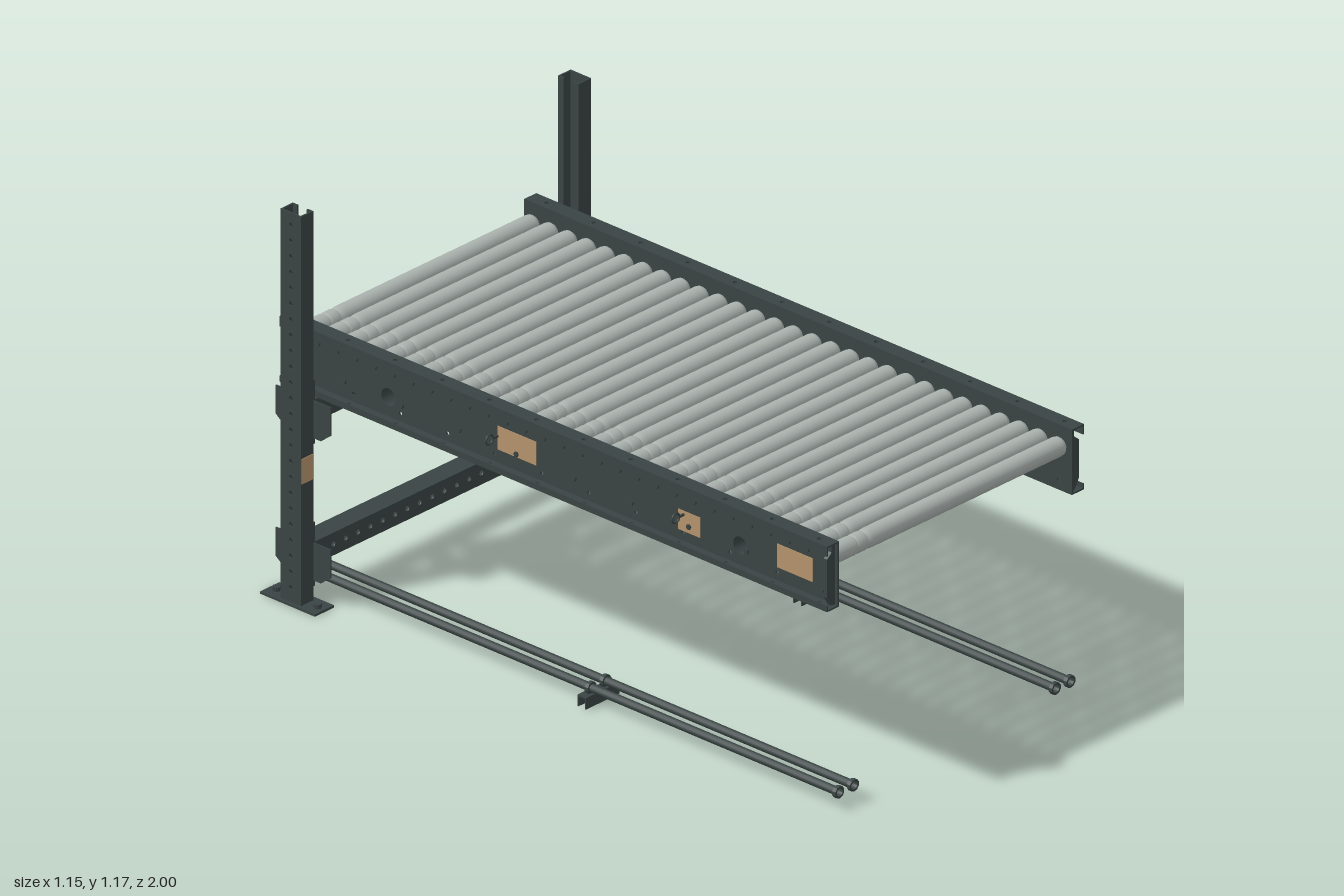
import * as THREE from 'three';

const steel = new THREE.MeshStandardMaterial({ color: 0x3a4444 });
const tubeSteel = new THREE.MeshStandardMaterial({ color: 0x3a4444, side: THREE.DoubleSide });
const zinc = new THREE.MeshStandardMaterial({ color: 0xaab2ae });
const tan = new THREE.MeshStandardMaterial({ color: 0xb5946c });

export function createModel() {
  const model = new THREE.Group();

  function add(parent, name, geo, mat, x, y, z) {
    const m = new THREE.Mesh(geo, mat);
    m.name = name;
    m.position.set(x, y, z);
    parent.add(m);
    return m;
  }
  const box = (p, name, w, h, d, x, y, z, mat = steel) =>
    add(p, name, new THREE.BoxGeometry(w, h, d), mat, x, y, z);
  function group(name) {
    const g = new THREE.Group();
    g.name = name;
    model.add(g);
    return g;
  }
  // Flat sheet in XY, centred in thickness; holes are [x, y, radius]
  function sheet(points, t, holes = []) {
    const s = new THREE.Shape(points.map(([x, y]) => new THREE.Vector2(x, y)));
    for (const [x, y, r] of holes) {
      const h = new THREE.Path();
      h.absarc(x, y, r, 0, Math.PI * 2, true);
      s.holes.push(h);
    }
    return new THREE.ExtrudeGeometry(s, { depth: t, bevelEnabled: false, curveSegments: 10 })
      .translate(0, 0, -t / 2);
  }
  const rect = (x0, y0, x1, y1) => [[x0, y0], [x1, y0], [x1, y1], [x0, y1]];
  // Sheet drawn as (z, y), facing sideways
  const sideSheet = (...a) => sheet(...a).rotateY(-Math.PI / 2);
  // Sheet drawn as (x, z), lying flat
  const flatSheet = (...a) => sheet(...a).rotateX(Math.PI / 2);
  const series = (n, start, step) => Array.from({ length: n }, (_, i) => start + i * step);

  const rollerZ = series(29, -0.963, 0.0687);
  const rollerY = 0.742;

  // Rollers with two belt grooves
  const prof = [[0, -0.455], [0.02, -0.455], [0.026, -0.452], [0.028, -0.446], [0.028, -0.368],
    [0.0245, -0.364], [0.0245, -0.359], [0.028, -0.355], [0.028, -0.328], [0.0245, -0.324],
    [0.0245, -0.319], [0.0275, -0.314], [0.0285, -0.3], [0.0285, 0.436], [0.027, 0.444],
    [0.022, 0.45], [0, 0.45]].map(([r, y]) => new THREE.Vector2(r, y));
  const rollerGeo = new THREE.LatheGeometry(prof, 20).rotateZ(-Math.PI / 2);
  const rollers = group('rollers');
  for (const z of rollerZ) add(rollers, 'roller', rollerGeo, zinc, 0, rollerY, z);

  // Hollow cross tubes between the rails
  const crossGeo = new THREE.CylinderGeometry(0.027, 0.027, 0.912, 20, 1, true).rotateZ(Math.PI / 2);
  for (const z of [0.645, -0.64]) add(model, 'crossTube', crossGeo, tubeSteel, 0, 0.667, z);

  // Side rails: outward channels with lips, bolts and end caps
  const webHoles = [[0.645, 0.667, 0.026], [-0.64, 0.667, 0.026]];
  for (const z of series(12, -0.94, 0.172)) webHoles.push([z, 0.633, 0.006]);
  const webGeo = sideSheet(rect(-1, 0.605, 1, 0.8), 0.006, webHoles);
  const boltGeo = new THREE.CylinderGeometry(0.008, 0.008, 0.008, 6).rotateZ(Math.PI / 2);
  const hookGeo = new THREE.TorusGeometry(0.014, 0.003, 6, 16);
  const flangeHoles = series(12, -0.94, 0.172).map(z => [0, z, 0.007]);
  const flangeGeo = flatSheet(rect(-0.0225, -1, 0.0225, 1), 0.005, flangeHoles);
  for (const s of [1, -1]) {
    const rail = group(s > 0 ? 'leftRail' : 'rightRail');
    add(rail, 'railWeb', webGeo, steel, s * 0.456, 0, 0);
    for (const [y, lipY, lipH] of [[0.7975, 0.785, 0.03], [0.6075, 0.614, 0.018]]) {
      add(rail, 'railFlange', flangeGeo, steel, s * 0.4775, y, 0);
      box(rail, 'railLip', 0.004, lipH, 2, s * 0.498, lipY, 0);
    }
    for (const z of rollerZ) add(rail, 'axleBolt', boltGeo, steel, s * 0.462, rollerY, z);
    for (const z of series(8, -0.8, 0.21)) add(rail, 'railBolt', boltGeo, steel, s * 0.462, 0.66, z);
    const cap = [[0.455, 0.61], [0.474, 0.612], [0.49, 0.64], [0.49, 0.755], [0.472, 0.77],
      [0.472, 0.798], [0.455, 0.798]].map(([x, y]) => [s * x, y]);
    for (const z of [0.985, -0.985]) add(rail, 'endCap', sheet(cap, 0.012), steel, 0, 0, z);
    for (const z of [0.44, -0.24]) {
      add(rail, 'cableHook', hookGeo, steel, s * 0.492, 0.69, z);
      box(rail, 'hookStem', 0.022, 0.006, 0.006, s * 0.468, 0.69, z);
    }
  }

  // Plain label patches: [side, z0, z1, y0, y1]
  const labels = [[1, 0.92, 0.97, 0.68, 0.703], [1, 0.755, 0.875, 0.66, 0.725],
    [1, 0.47, 0.605, 0.65, 0.72], [1, 0.27, 0.355, 0.64, 0.69], [1, -0.61, -0.545, 0.635, 0.73],
    [1, -0.85, -0.715, 0.65, 0.72], [-1, -0.24, -0.1, 0.65, 0.72], [-1, 0.42, 0.5, 0.64, 0.7],
    [-1, 0.78, 0.91, 0.65, 0.72]];
  for (const [s, z0, z1, y0, y1] of labels)
    box(model, 'label', 0.002, y1 - y0, z1 - z0, s * 0.46, (y0 + y1) / 2, (z0 + z1) / 2, tan);
  box(model, 'postLabel', 0.042, 0.075, 0.002, -0.541, 0.407, -0.8595, tan);

  // Posts: perforated channels opening inward, on bolted foot plates
  const postZ = -0.898;
  const postHoles = series(24, 0.05, 0.047).map(y => [0, y, 0.0065]);
  const postWeb = sideSheet(rect(-0.0375, 0.005, 0.0375, 1.167), 0.005, postHoles);
  const footBolt = new THREE.CylinderGeometry(0.012, 0.012, 0.012, 6);
  for (const s of [1, -1]) {
    const post = group(s > 0 ? 'leftPost' : 'rightPost');
    add(post, 'postWeb', postWeb, steel, s * 0.5625, 0, postZ);
    for (const d of [1, -1]) {
      box(post, 'postSide', 0.049, 1.162, 0.005, s * 0.5405, 0.586, postZ + d * 0.035);
      box(post, 'postLip', 0.005, 1.162, 0.02, s * 0.5185, 0.586, postZ + d * 0.0275);
      add(post, 'footBolt', footBolt, steel, s * 0.54, 0.013, postZ + d * 0.075);
    }
    box(post, 'footPlate', 0.075, 0.007, 0.2, s * 0.5375, 0.0035, -0.9);
  }

  // Cross beams with perforated faces, end plates and bolts
  const beamHoles = series(21, -0.48, 0.048).map(x => [x, 0, 0.0075]);
  const beamGeo = sheet(rect(-0.51, -0.034, 0.51, 0.034), 0.004, beamHoles);
  const gussetGeo = sideSheet([[-0.1, 0.034], [-0.1, -0.05], [-0.065, -0.077], [0.065, -0.077],
    [0.1, -0.05], [0.1, 0.034]], 0.005);
  for (const y of [0.566, 0.142]) {
    const beam = group(y > 0.3 ? 'upperBeam' : 'lowerBeam');
    for (const d of [1, -1]) {
      add(beam, 'beamFace', beamGeo, steel, 0, y, postZ + d * 0.03);
      box(beam, 'beamFlange', 1.02, 0.004, 0.06, 0, y + d * 0.032, postZ);
    }
    for (const s of [1, -1]) {
      add(beam, 'gusset', gussetGeo, steel, s * 0.5125, y, postZ - 0.002);
      box(beam, 'endPlate', 0.006, 0.19, 0.07, s * 0.511, y, postZ);
      for (const dy of [-0.068, 0.068, 0.085])
        add(beam, 'beamBolt', footBolt, steel, s * 0.506, y + dy, postZ).rotation.z = Math.PI / 2;
    }
  }

  // Floor tubes in pairs, with end collars and a folded support
  const rodGeo = new THREE.CylinderGeometry(0.012, 0.012, 1.99, 12, 1, true).rotateX(Math.PI / 2);
  const ring = [[0.012, -0.006], [0.018, -0.006], [0.018, 0.006], [0.012, 0.006], [0.012, -0.006]];
  const collarGeo = new THREE.LatheGeometry(ring.map(p => new THREE.Vector2(...p)), 10)
    .toNonIndexed().rotateX(Math.PI / 2);
  collarGeo.computeVertexNormals();
  for (const s of [1, -1]) {
    const rods = group(s > 0 ? 'leftFloorTubes' : 'rightFloorTubes');
    for (const x of [0.393, 0.45]) {
      add(rods, 'floorTube', rodGeo, tubeSteel, s * x, 0.05, 0);
      for (const z of [0.994, 0.09, -0.994]) add(rods, 'collar', collarGeo, tubeSteel, s * x, 0.05, z);
    }
    box(rods, 'supportTop', 0.13, 0.004, 0.032, s * 0.42, 0.034, 0.09);
    for (const d of [1, -1]) box(rods, 'supportSide', 0.13, 0.034, 0.004, s * 0.42, 0.019, 0.09 + d * 0.014);
  }
  return model;
}
